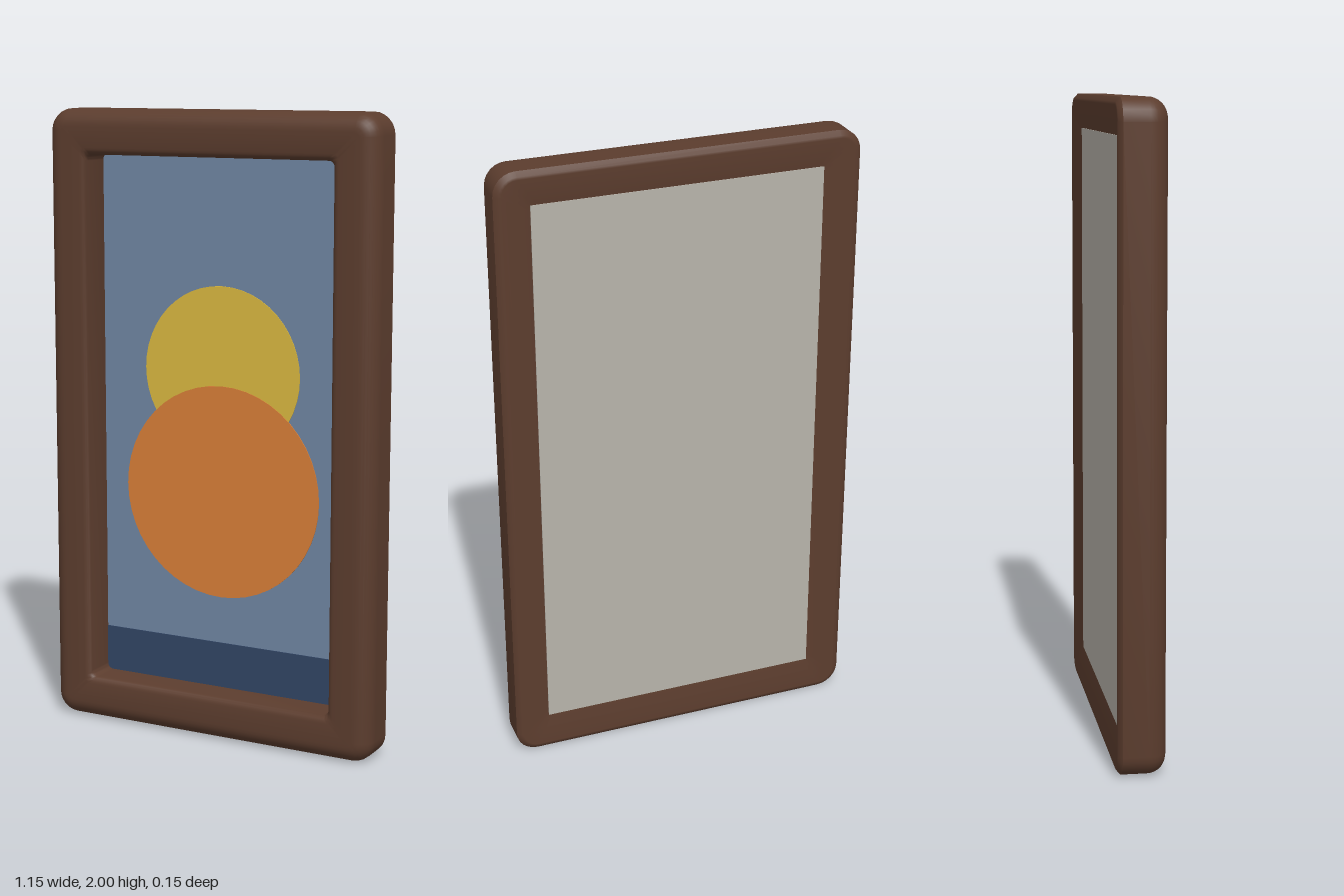
import * as THREE from 'three';
import { toCreasedNormals } from 'three/addons/utils/BufferGeometryUtils.js';

const HALF_W = 0.573, HALF_H = 1, MID_Y = 1;

function material(name, color) {
  const m = new THREE.MeshStandardMaterial({ color });
  m.name = name;
  return m;
}

// Quarter arc of moulding profile points: [inset from outer edge, z]
function arc(cx, cz, r, from, to, steps) {
  return Array.from({ length: steps + 1 }, (_, i) => {
    const a = from + (to - from) * i / steps;
    return [cx + r * Math.cos(a), cz + r * Math.sin(a)];
  });
}

// Rounded rectangle ring at a given inset and depth, counter-clockwise from the front
function ring(inset, z, steps = 6) {
  const r = Math.max(0.07 - inset, 0.02);
  const cx = HALF_W - inset - r, cy = HALF_H - inset - r;
  const points = [];
  [[1, 1], [-1, 1], [-1, -1], [1, -1]].forEach(([sx, sy], q) => {
    for (let i = 0; i <= steps; i++) {
      const a = (q + i / steps) * Math.PI / 2;
      points.push([sx * cx + r * Math.cos(a), MID_Y + sy * cy + r * Math.sin(a), z]);
    }
  });
  return points;
}

// Sweep the closed moulding profile around the rectangle
function frameGeometry() {
  const profile = [
    [0, -0.06],
    ...arc(0.056, 0.019, 0.056, Math.PI, Math.PI / 2, 8),
    ...arc(0.121, 0.053, 0.022, Math.PI / 2, 0, 5),
    [0.143, -0.05],
    [0.113, -0.05],
    [0.022, -0.075],
    [0.014, -0.073],
  ];
  const rings = profile.map(([d, z]) => ring(d, z));
  const n = rings[0].length, m = rings.length;
  const index = [];
  for (let j = 0; j < m; j++) {
    for (let i = 0; i < n; i++) {
      const a = j * n + i, b = j * n + (i + 1) % n;
      const c = ((j + 1) % m) * n + (i + 1) % n, d = ((j + 1) % m) * n + i;
      index.push(a, b, c, a, c, d);
    }
  }
  const g = new THREE.BufferGeometry();
  g.setAttribute('position', new THREE.Float32BufferAttribute(rings.flat(2), 3));
  g.setIndex(index);
  return toCreasedNormals(g, 0.55);
}

export function createModel() {
  const model = new THREE.Group();
  model.name = 'framedPicture';

  const wood = material('brown wood', 0x5c3d2e);
  const blue = material('dusty blue', 0x7086a3);
  const navy = material('navy', 0x314565);
  const yellow = material('yellow', 0xdab840);
  const orange = material('orange', 0xd97f38);
  const grey = material('warm grey', 0xb8b4ab);

  function add(name, geometry, mat, y = 0, z = 0) {
    const mesh = new THREE.Mesh(geometry, mat);
    mesh.name = name;
    mesh.position.set(0, y, z);
    model.add(mesh);
  }
  const disc = (r) => new THREE.CylinderGeometry(r, r, 0.003, 48).rotateX(Math.PI / 2);

  add('frame', frameGeometry(), wood);

  // Recessed picture, layered from back to front
  add('pictureBackground', new THREE.BoxGeometry(0.864, 1.718, 0.008), blue, MID_Y, -0.044);
  add('groundStrip', new THREE.BoxGeometry(0.862, 0.15, 0.003), navy, 0.217, -0.039);
  add('upperDisc', disc(0.275), yellow, 1.178, -0.039);
  add('lowerDisc', disc(0.345), orange, 0.79, -0.037);

  // Board closing the back of the frame
  add('backingBoard', new THREE.BoxGeometry(0.92, 1.776, 0.006), grey, MID_Y, -0.05);

  return model;
}
